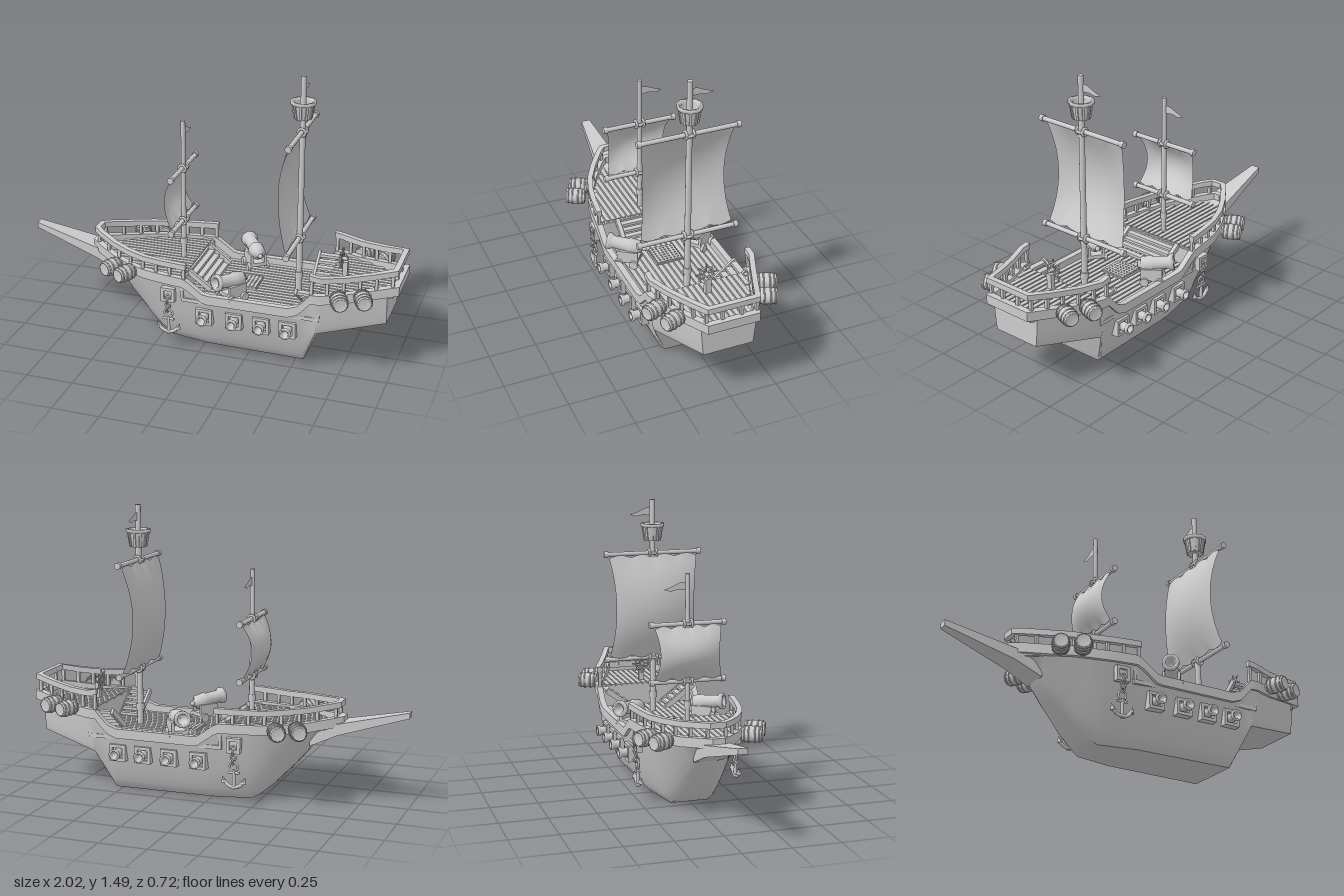
import * as THREE from 'three';
import { toCreasedNormals } from 'three/addons/utils/BufferGeometryUtils.js';

const mat = new THREE.MeshStandardMaterial({ color: 0xcccccc });
const thin = new THREE.MeshStandardMaterial({ color: 0xcccccc, side: THREE.DoubleSide });
const V = (x, y, z) => new THREE.Vector3(x, y, z);
const box = (x, y, z) => new THREE.BoxGeometry(x, y, z);
const cyl = (rt, rb, h, n = 12, open = false) => new THREE.CylinderGeometry(rt, rb, h, n, 1, open);
const lathe = (pts, n = 14) => new THREE.LatheGeometry(pts.map(p => new THREE.Vector2(...p)), n);

// Hull curves along x: sheer height, keel height, deck and bottom half widths
const SHEER = [[-.65, .46], [-.5, .44], [-.3, .43], [-.08, .43], [-.05, .415], [.03, .357], [.06, .352], [.48, .352], [.53, .37], [.56, .4], [.6, .445], [.75, .45], [1, .485]];
const KEEL = [[-.65, .41], [-.535, .35], [-.48, .265], [-.42, .195], [-.31, .08], [-.25, .03], [-.2, 0], [.54, 0], [.62, .21], [.96, .27]];
const WIDTH = [[-.65, .04], [-.6, .085], [-.5, .155], [-.4, .21], [-.3, .245], [-.2, .267], [-.08, .284], [.64, .284], [1, .14]];
const BOTTOM = [[-.65, .02], [-.5, .03], [-.35, .06], [-.2, .1], [0, .14], [.54, .15], [.62, .245], [.96, .13]];
function at(table, x) {
  if (x <= table[0][0]) return table[0][1];
  for (let i = 1; i < table.length; i++) {
    const [a, p] = table[i - 1], [b, q] = table[i];
    if (x <= b) return p + (q - p) * (x - a) / (b - a);
  }
  return table[table.length - 1][1];
}
const stations = (x0, x1, ...tables) => {
  const xs = tables.flat().map(k => k[0]).filter(x => x > x0 && x < x1);
  return [...new Set([x0, ...xs, x1])].sort((a, b) => a - b);
};

// Skin over cross-section rings (counterclockwise about the path direction)
function loft(rings, { openRing = false, loop = false, crease = .5 } = {}) {
  const pos = [], tri = (...p) => p.forEach(v => pos.push(v.x, v.y, v.z));
  const n = rings[0].length;
  for (let i = 0; i < rings.length - (loop ? 0 : 1); i++) {
    const a = rings[i], b = rings[(i + 1) % rings.length];
    for (let j = 0; j < n - (openRing ? 1 : 0); j++) {
      const k = (j + 1) % n;
      tri(a[j], a[k], b[k]);
      tri(a[j], b[k], b[j]);
    }
  }
  if (!loop) {
    const a = rings[0], b = rings[rings.length - 1];
    for (let j = 1; j < n - 1; j++) { tri(a[0], a[j + 1], a[j]); tri(b[0], b[j], b[j + 1]); }
  }
  const g = new THREE.BufferGeometry();
  g.setAttribute('position', new THREE.Float32BufferAttribute(pos, 3));
  return toCreasedNormals(g, crease);
}
// Rectangular rail swept along a path with mitred corners
function band(path, thick, height, loop = false) {
  const n = path.length, flat = (a, b) => V(b.x - a.x, 0, b.z - a.z).normalize();
  const rings = path.map((p, i) => {
    const prev = path[loop ? (i + n - 1) % n : i - 1], next = path[loop ? (i + 1) % n : i + 1];
    const d1 = prev ? flat(prev, p) : flat(p, next), d2 = next ? flat(p, next) : d1;
    const d = d1.clone().add(d2).normalize();
    const side = V(-d.z, 0, d.x).multiplyScalar(thick / 2 / Math.max(.5, d.dot(d2)));
    const up = V(0, height / 2, 0);
    return [[-1, 1], [1, 1], [1, -1], [-1, -1]].map(([s, u]) => p.clone().addScaledVector(side, s).addScaledVector(up, u));
  });
  return loft(rings, { loop });
}

export function createModel() {
  const ship = new THREE.Group();
  ship.name = 'sailingShip';
  const add = (name, geo, p = [0, 0, 0], r = [0, 0, 0], parent = ship, m = mat) => {
    const o = new THREE.Mesh(geo, m);
    o.name = name;
    o.position.set(...p);
    o.rotation.set(...r);
    parent.add(o);
    return o;
  };
  const group = (name, p, ry = 0) => {
    const g = new THREE.Group();
    g.name = name;
    g.position.set(...p);
    g.rotation.y = ry;
    ship.add(g);
    return g;
  };

  // Hull
  const hull = stations(-.65, .96, SHEER, KEEL, WIDTH, BOTTOM).map(x => {
    const k = at(KEEL, x), s = at(SHEER, x) - .02, b = at(BOTTOM, x), w = Math.max(b, at(WIDTH, x) - .008);
    const half = [1, .85, .7, .55, .4, .27, .15, .06, 0].map(t => V(x, k + (s - k) * t, b + (w - b) * t ** .63));
    return [...half, ...half.map(v => V(v.x, v.y, -v.z)).reverse()];
  });
  add('hull', loft(hull, { openRing: true, crease: .55 }), [0, 0, 0], [0, 0, 0], ship, thin);
  const mirrorPath = pts => [...pts, ...pts.map(v => V(v.x, v.y, -v.z)).reverse()];
  const rim = stations(-.65, 1, SHEER, WIDTH).map(x => V(x, at(SHEER, x) - .025, at(WIDTH, x) - .015));
  add('gunwale', band(mirrorPath(rim), .032, .05, true));
  const sprit = [[-1, .475, .505, .025], [-.64, .365, .425, .065], [-.5, .3, .4, .075]].map(([x, lo, hi, w]) =>
    [V(x, hi, -w), V(x, hi, w), V(x, lo, w), V(x, lo, -w)]);
  add('bowsprit', loft(sprit, { crease: .2 }));

  // Decks with planks
  const deck = (name, x0, x1, y) => {
    const inner = x => at(WIDTH, x) - .02;
    const side = mirrorPath(stations(x0, x1, WIDTH).map(x => V(x, 0, inner(x))));
    const shape = new THREE.Shape(side.map(v => new THREE.Vector2(v.x, -v.z)));
    add(name, new THREE.ExtrudeGeometry(shape, { depth: .02, bevelEnabled: false }), [0, y - .02, 0], [-Math.PI / 2, 0, 0]);
    for (let i = -8; i <= 8; i++) {
      const z = i * .03, xs = [];
      for (let x = x0; x <= x1; x += .01) if (inner(x) > Math.abs(z) + .015) xs.push(x);
      if (xs.length < 2) continue;
      const a = xs[0], b = xs[xs.length - 1];
      add('plank', box(b - a, .008, .022), [(a + b) / 2, y + .003, z]);
    }
  };
  deck('foreDeck', -.63, -.08, .412);
  deck('mainDeck', -.09, .64, .31);
  deck('quarterDeck', .63, .985, .432);
  add('foreBulkhead', box(.015, .1, .53), [-.085, .36, 0]);
  add('aftBulkhead', box(.015, .12, .53), [.637, .37, 0]);

  // Stairs
  for (let i = 0; i < 4; i++) add('foreStep', box(.03, .015, .32), [-.06 + i * .026, .395 - i * .023, 0]);
  for (const s of [1, -1]) {
    add('foreStairSide', box(.15, .025, .022), [-.02, .375, s * .165], [0, 0, -.62]);
    for (let i = 0; i < 5; i++) add('aftStep', box(.11, .015, .032), [.575, .332 + i * .023, s * (.112 + i * .03)]);
    for (const x of [.515, .632]) add('aftStairSide', box(.014, .03, .2), [x, .375, s * .17], [-s * .65, 0, 0]);
  }

  // Hatch grating
  add('hatch', box(.14, .012, .145), [.185, .318, 0]);
  for (let i = -3; i <= 3; i++) {
    add('hatchBar', box(.012, .008, .14), [.185 + i * .02, .327, 0]);
    add('hatchBar', box(.135, .008, .01), [.185, .327, i * .02]);
  }

  // Railings
  const FORERAIL = [[-.65, .522], [-.5, .503], [-.3, .49], [-.06, .494]];
  const AFTRAIL = [[.59, .538], [.65, .528], [.75, .527], [.88, .54], [1, .56]];
  const railing = (name, table, x0, x1) => {
    const pts = stations(x0, x1, table, WIDTH).map(x => V(x, at(table, x), at(WIDTH, x) - .014));
    const path = x0 < 0 ? mirrorPath(pts.map(v => V(v.x, v.y, -v.z)).reverse()) : mirrorPath(pts);
    add(name, band(path, .028, .03));
    const n = Math.round((x1 - x0) / .085);
    for (let i = 0; i <= n; i++) for (const s of [1, -1]) {
      const x = x0 + .012 + (x1 - x0 - .024) * i / n, top = at(table, x), low = at(SHEER, x) - .01;
      add('railPost', box(.016, top - low, .016), [x, (top + low) / 2, s * (at(WIDTH, x) - .015)]);
    }
  };
  railing('foreRailing', FORERAIL, -.64, -.06);
  railing('aftRailing', AFTRAIL, .59, .995);
  for (const z of [-.05, .05]) add('railPost', box(.016, .09, .016), [.988, .51, z]);

  // Masts, yards, sails and flags
  const rig = (x, y0, y1, r, lo, hi, yard, bulge) => {
    add('mast', cyl(r * .85, r, y1 - y0), [x, (y0 + y1) / 2, 0]);
    add('mastFoot', cyl(r * 1.3, r * 1.3, .035), [x, y0 + .1, 0]);
    for (const y of [lo, hi]) {
      add('yard', cyl(.012, .012, yard * 2), [x, y, 0], [Math.PI / 2, 0, 0]);
      for (const s of [1, -1]) {
        add('yardEnd', cyl(.017, .017, .022), [x, y, s * (yard - .01)], [Math.PI / 2, 0, 0]);
        add('yardLashing', new THREE.TorusGeometry(.019, .007, 6, 14), [x, y, s * .02]);
      }
      add('mastCollar', new THREE.TorusGeometry(r + .005, .008, 6, 14), [x, y, 0], [Math.PI / 2, 0, 0]);
    }
    const h = hi - lo - .04, w = yard - .025, g = new THREE.PlaneGeometry(2, 2, 32, 20), p = g.attributes.position;
    for (let i = 0; i < p.count; i++) {
      const u = p.getX(i), v = p.getY(i), f = 1 - v * v;
      const scallop = .014 * Math.abs(Math.sin(u * Math.PI * 2)) * v ** 9;
      p.setXYZ(i, -bulge * f * (1 - .45 * u * u) - .012, v * h / 2 + scallop, -u * w * (1 - .11 * f));
    }
    g.computeVertexNormals();
    add('sail', g, [x, (lo + hi) / 2, 0], [0, 0, 0], ship, thin);
    const flag = new THREE.Shape([[0, 0], [-.04, -.004], [-.08, -.022], [-.125, -.038], [-.09, -.048], [-.05, -.04], [0, -.045]].map(q => new THREE.Vector2(...q)));
    add('flag', new THREE.ShapeGeometry(flag), [x, y1 - .04, 0], [0, -Math.PI / 2, 0], ship, thin);
  };
  rig(-.165, .41, 1.18, .014, .63, .925, .2, .07);
  rig(.465, .31, 1.485, .017, .62, 1.197, .27, .085);

  // Crow's nest
  const nest = group('crowsNest', [.465, 1.27, 0]);
  add('nestWall', cyl(.056, .042, .085, 10, true), [0, .04, 0], [0, 0, 0], nest, thin);
  add('nestFloor', cyl(.042, .042, .01, 10), [0, 0, 0], [0, 0, 0], nest);
  add('nestRim', lathe([[.05, .07], [.064, .07], [.066, .088], [.052, .088], [.05, .07]], 10), [0, 0, 0], [0, 0, 0], nest);
  for (let i = 0; i < 10; i++) {
    const a = i * Math.PI / 5;
    add('nestStave', box(.012, .08, .006), [Math.sin(a) * .05, .036, Math.cos(a) * .05], [.16, a, 0], nest).rotation.order = 'YXZ';
  }

  // Helm
  add('helmStand', box(.025, .09, .03), [.71, .475, 0]);
  add('helmWheel', new THREE.TorusGeometry(.036, .005, 6, 20), [.69, .535, 0], [0, Math.PI / 2, 0]);
  for (let i = 0; i < 4; i++) add('helmSpoke', cyl(.004, .004, .115, 6), [.69, .535, 0], [i * Math.PI / 4, 0, 0]);
  add('helmAxle', cyl(.01, .01, .04, 8), [.7, .535, 0], [0, 0, Math.PI / 2]);

  const gunProfile = [[0, -.5], [.1, -.48], [.1, -.42], [.2, -.38], [.22, -.1], [.19, -.08], [.17, .34], [.23, .4], [.23, .5], [.14, .5], [.12, .2], [0, .2]];
  const gun = size => lathe(gunProfile.map(([r, y]) => [r * size, y * size]), 16);
  for (const s of [1, -1]) {
    // Gun ports
    const turn = s > 0 ? 0 : Math.PI;
    for (const x of [.035, .195, .34, .48]) {
      const port = group('gunPort', [x, .22, s * .25], turn);
      for (const q of [-1, 1]) {
        add('portFrame', box(.088, .016, .045), [0, q * .036, 0], [0, 0, 0], port);
        add('portFrame', box(.016, .088, .044), [q * .036, 0, 0], [0, 0, 0], port);
      }
      add('portBack', box(.07, .07, .02), [0, 0, -.004], [0, 0, 0], port);
      add('portGun', gun(.13), [0, 0, 0], [Math.PI / 2, 0, 0], port);
    }
    // Deck cannons
    const cannon = group('deckCannon', [.165, .31, s * .205], Math.atan2(-.1, s * .14));
    add('barrel', gun(.19), [0, .115, .01], [Math.PI / 2 - .12, 0, 0], cannon);
    add('breechKnob', new THREE.SphereGeometry(.013, 10, 8), [0, .103, -.09], [0, 0, 0], cannon);
    for (const q of [-1, 1]) {
      add('carriageCheek', box(.014, .065, .11), [q * .038, .065, -.01], [0, 0, 0], cannon);
      for (const z of [-.045, .035]) add('wheel', cyl(.023, .023, .014), [q * .052, .028, z], [0, 0, Math.PI / 2], cannon);
    }
    add('carriageBed', box(.075, .02, .11), [0, .042, -.01], [0, 0, 0], cannon);

    // Slung barrels
    for (const [x, z, nx] of [[-.485, .235, -.5], [-.39, .285, -.5], [.75, .3, .4], [.86, .25, .4]]) {
      const cask = group('cask', [x, x < 0 ? .415 : .445, s * z], Math.atan2(nx, s));
      add('caskBody', lathe([[0, -.045], [.031, -.045], [.031, -.05], [.037, -.05], [.042, -.02], [.042, .02], [.037, .05], [.031, .05], [.031, .045], [0, .045]], 12), [0, 0, 0], [Math.PI / 2, 0, 0], cask);
      for (const [hz, r] of [[-.038, .039], [-.016, .042], [.016, .042], [.038, .039]]) add('caskHoop', new THREE.TorusGeometry(r, .004, 5, 16), [0, 0, hz], [0, 0, 0], cask);
    }

    // Anchor on its chain
    const anchor = group('anchor', [-.16, 0, s * .264], turn);
    for (const q of [-1, 1]) {
      add('hawsePlate', box(.074, .016, .03), [0, .32 + q * .031, 0], [0, 0, 0], anchor);
      add('hawsePlate', box(.016, .074, .03), [q * .029, .32, 0], [0, 0, 0], anchor);
      add('fluke', new THREE.ConeGeometry(.016, .036, 4), [q * .056, .142, 0], [0, 0, -q * .25], anchor);
    }
    add('hawseBack', box(.06, .06, .012), [0, .32, -.004], [0, 0, 0], anchor);
    for (let i = 0; i < 4; i++) add('chainLink', new THREE.TorusGeometry(.014, .005, 6, 12), [0, .305 - i * .023, .008], [0, i % 2 * Math.PI / 2, 0], anchor);
    add('anchorRing', new THREE.TorusGeometry(.022, .006, 6, 16), [0, .21, 0], [0, 0, 0], anchor);
    add('shank', cyl(.008, .01, .1, 8), [0, .143, 0], [0, 0, 0], anchor);
    add('stock', cyl(.007, .007, .06, 8), [0, .178, 0], [0, 0, Math.PI / 2], anchor);
    add('arms', new THREE.TorusGeometry(.056, .01, 6, 18, 2.4), [0, .158, 0], [0, 0, Math.PI + .37], anchor);
  }
  return ship;
}
